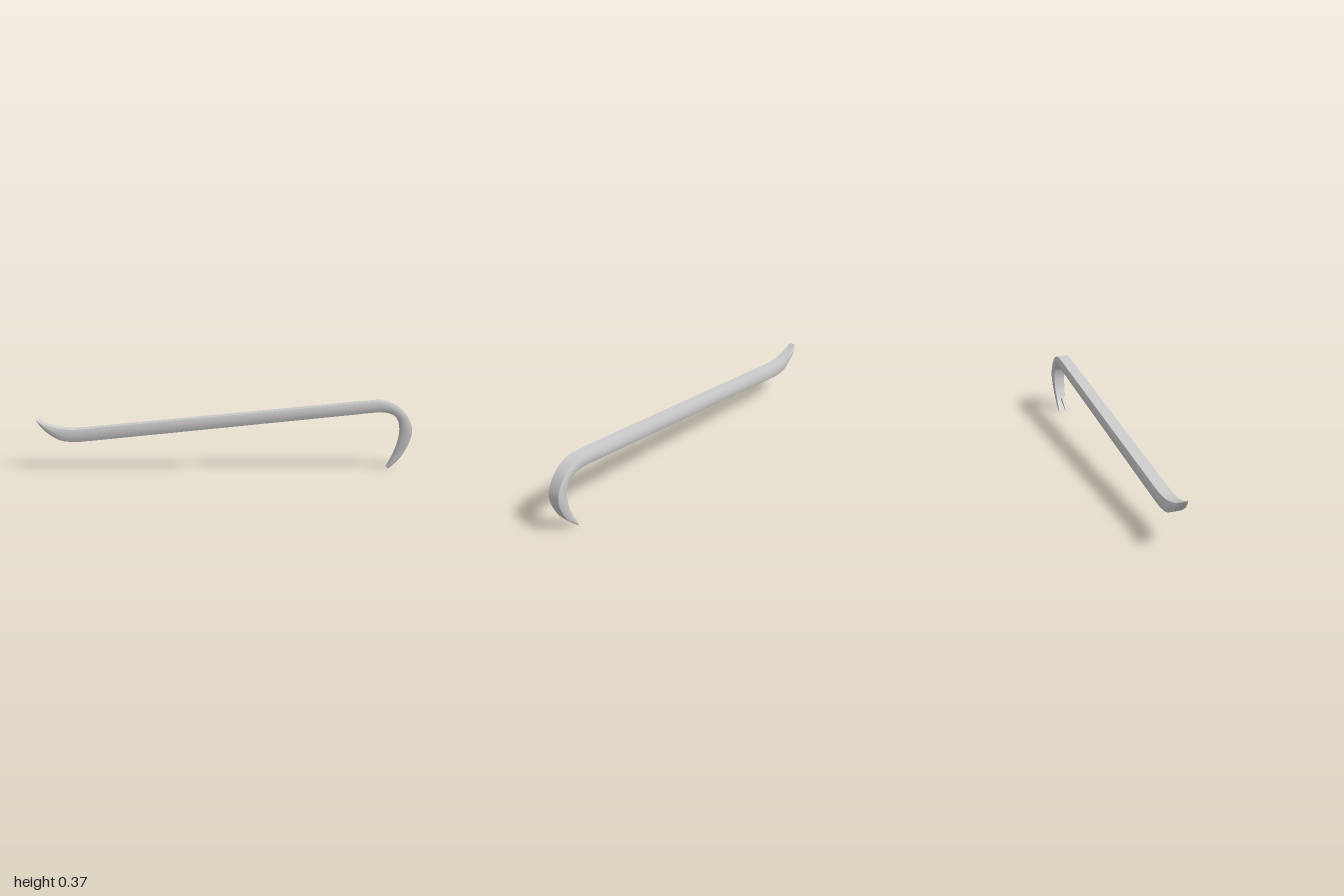
import * as THREE from 'three';
import { mergeGeometries } from 'three/addons/utils/BufferGeometryUtils.js';

// Stations along the bar: outer edge x, y, inner edge x, y, half width
const STATIONS = [
  [-1, 0.268, -0.999, 0.262, 0.02],
  [-0.968, 0.248, -0.975, 0.228, 0.028],
  [-0.912, 0.228, -0.925, 0.184, 0.032],
  [-0.86, 0.216, -0.872, 0.156, 0.0345],
  [-0.8, 0.213, -0.8, 0.147, 0.0365],
  [-0.74, 0.217, -0.735, 0.151, 0.037],
  [-0.6, 0.2304, -0.595, 0.165, 0.037],
  [0.65, 0.35, 0.655, 0.291, 0.037],
  [0.78, 0.362, 0.79, 0.305, 0.037],
  [0.835, 0.365, 0.83, 0.3075, 0.037],
  [0.885, 0.355, 0.872, 0.301, 0.037],
  [0.938, 0.324, 0.907, 0.284, 0.037],
  [0.977, 0.275, 0.931, 0.253, 0.037],
  [0.998, 0.21, 0.941, 0.208, 0.037],
  [0.984, 0.142, 0.935, 0.15, 0.0355],
  [0.945, 0.068, 0.912, 0.08, 0.031],
  [0.907, 0.025, 0.888, 0.033, 0.0285],
  [0.878, 0, 0.871, 0.003, 0.026],
];
const STEPS = (STATIONS.length - 1) * 10;
const SIDE = 6; // segments across the bulged side
const SLOT_TOP = 0.07, SLOT_HALF = 0.0145, SLOT_Z = 0.002;

const outer = new THREE.CatmullRomCurve3(STATIONS.map(s => new THREE.Vector3(s[0], s[1], s[4])));
const inner = new THREE.CatmullRomCurve3(STATIONS.map(s => new THREE.Vector3(s[2], s[3], s[4])));

// Half cross-section at step i, from the middle of the outer face round to the inner face
function section(i, side) {
  const a = outer.getPoint(i / STEPS), b = inner.getPoint(i / STEPS);
  const width = a.z, flat = width * 0.84;
  const y = (a.y + b.y) / 2;
  const inSlot = a.x > 0 && y < SLOT_TOP;
  const slot = inSlot ? SLOT_HALF * Math.pow((SLOT_TOP - y) / SLOT_TOP, 0.6) : 0;
  const mid = inSlot ? SLOT_Z * Math.min(1, slot / 0.004) + side * slot : 0;
  const points = [[a.x, a.y, mid]];
  for (let k = 0; k <= SIDE; k++) {
    const u = k / SIDE, c = 2 * u - 1;
    const z = flat + (width - flat) * (1 - c * c);
    points.push([a.x + (b.x - a.x) * u, a.y + (b.y - a.y) * u, side * z]);
  }
  points.push([b.x, b.y, mid]);
  return { points, inSlot };
}

function makeGeometry(positions, index, side) {
  if (side < 0) index.reverse();
  const g = new THREE.BufferGeometry();
  g.setAttribute('position', new THREE.Float32BufferAttribute(positions, 3));
  g.setIndex(index);
  g.computeVertexNormals();
  return g;
}

// Smooth band joining the chosen points of successive sections
function strip(sections, picks, side) {
  const n = picks.length, index = [];
  const positions = sections.flatMap(s => picks.flatMap(p => s.points[p]));
  for (let i = 0; i < sections.length - 1; i++) {
    for (let k = 0; k < n - 1; k++) {
      const a = i * n + k, b = a + 1, c = b + n, d = a + n;
      index.push(a, b, c, a, c, d);
    }
  }
  return makeGeometry(positions, index, side);
}

function cap(section, side) {
  const index = [];
  for (let k = 1; k < section.points.length - 1; k++) index.push(0, k, k + 1);
  return makeGeometry(section.points.flat(), index, side);
}

// One half of the bar, split along its middle
function halfBar(side) {
  const sections = [];
  for (let i = 0; i <= STEPS; i++) sections.push(section(i, side));
  const last = SIDE + 2;
  const sidePicks = Array.from({ length: SIDE + 1 }, (_, k) => k + 1);
  const firstSlot = sections.findIndex(s => s.inSlot);
  return mergeGeometries([
    strip(sections, [0, 1], side),                          // outer face
    strip(sections, sidePicks, side),                       // bulged side
    strip(sections, [last - 1, last], side),                // inner face
    strip(sections.slice(firstSlot - 1), [last, 0], side),  // wall of the claw slot
    cap(sections[0], -side),
    cap(sections[STEPS], side),
  ]);
}

export function createModel() {
  const group = new THREE.Group();
  group.name = 'pryBar';
  const steel = new THREE.MeshStandardMaterial({ color: 0xcccccc });
  const bar = new THREE.Mesh(mergeGeometries([halfBar(1), halfBar(-1)]), steel);
  bar.name = 'barWithClawAndChisel';
  group.add(bar);
  return group;
}
